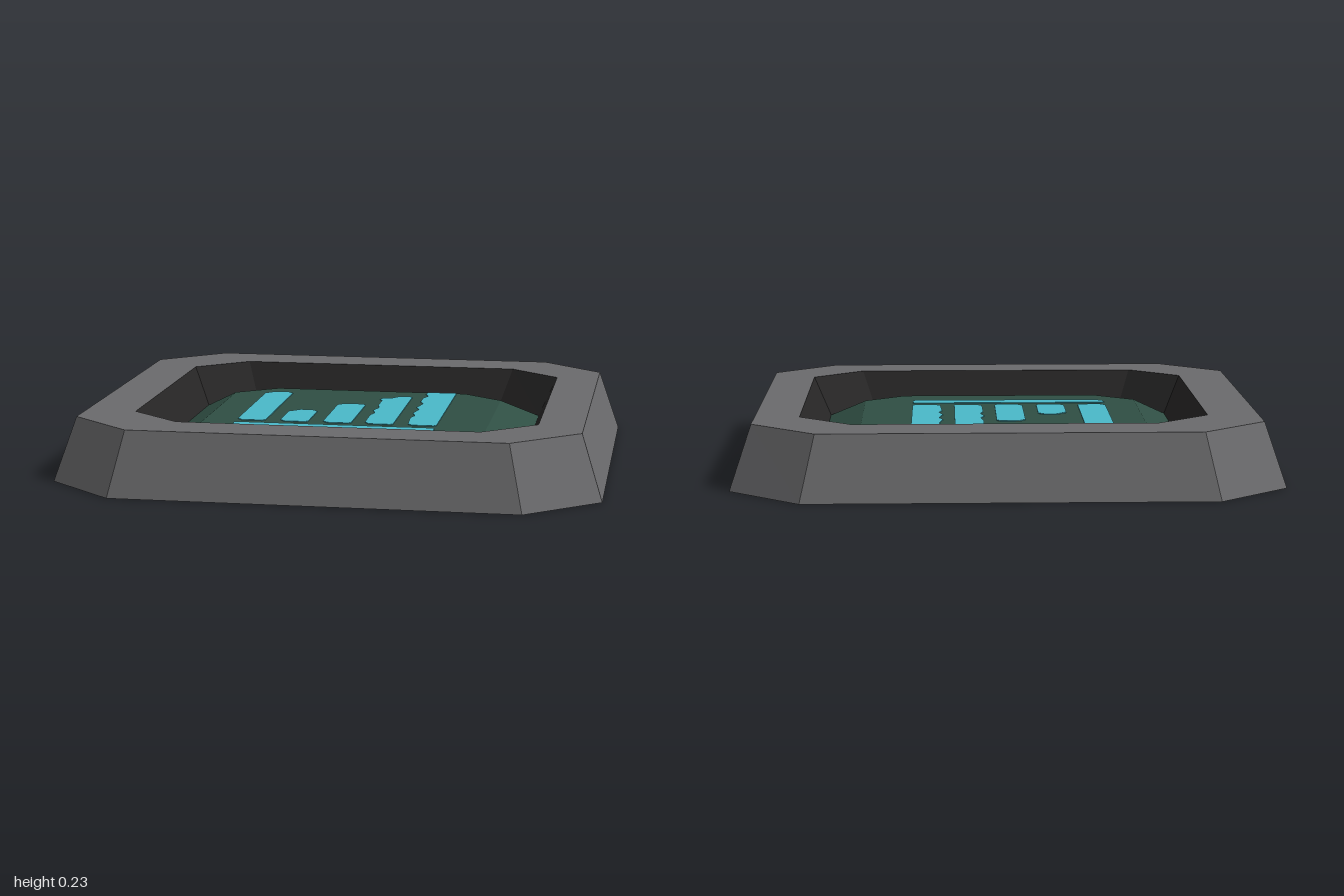
import * as THREE from 'three';

const material = (name, color, side = THREE.DoubleSide) => {
  const m = new THREE.MeshStandardMaterial({ color, side, flatShading: true });
  m.name = name;
  return m;
};

// Octagon with cut corners: half sizes, corner starts, height and centre
const octagon = (hx, hz, cx, cz, y, ox = 0, oz = 0) => [
  [hx, -cz], [hx, cz], [cx, hz], [-cx, hz],
  [-hx, cz], [-hx, -cz], [-cx, -hz], [cx, -hz],
].map(([x, z]) => [x + ox, y, z + oz]);

// Flat-faced skin through successive rings
function loft(rings) {
  const pos = [];
  for (let r = 0; r < rings.length - 1; r++) {
    const a = rings[r], b = rings[r + 1];
    for (let i = 0; i < a.length; i++) {
      const j = (i + 1) % a.length;
      pos.push(...a[i], ...b[i], ...b[j], ...a[i], ...b[j], ...a[j]);
    }
  }
  const g = new THREE.BufferGeometry();
  g.setAttribute('position', new THREE.Float32BufferAttribute(pos, 3));
  g.computeVertexNormals();
  return g;
}

export function createModel() {
  const group = new THREE.Group();
  const grey = material('frame grey', 0x6a6a6c);
  const black = material('recess black', 0x272626);
  const green = material('screen green', 0x2f4e43);
  const cyan = material('bar cyan', 0x4ab8c8);

  const add = (name, geometry, mat) => {
    const mesh = new THREE.Mesh(geometry, mat);
    mesh.name = name;
    group.add(mesh);
  };

  // Hollow frame, open underneath
  const base = octagon(1, 0.885, 0.737, 0.66, 0);
  const rim = octagon(0.922, 0.815, 0.684, 0.61, 0.235);
  const opening = octagon(0.746, 0.634, 0.553, 0.473, 0.235, 0.012, 0.008);
  const screenEdge = octagon(0.68, 0.577, 0.503, 0.43, 0.085, 0.01, 0.01);
  add('frame', loft([base, rim, opening]), grey);
  add('recessWall', loft([opening, screenEdge]), black);

  // Raised screen with sloping border and flat centre
  const top = 0.16;
  const screenFlat = octagon(0.54, 0.45, 0.385, 0.335, top, 0.005, 0.006);
  const centre = octagon(0, 0, 0, 0, top);
  add('screen', loft([screenEdge, screenFlat, centre]), green);

  // Thin plate from an outline of x, z points, showing on both screen faces
  const plate = (name, points) => {
    const shape = new THREE.Shape(points.map(([x, z]) => new THREE.Vector2(x, -z)));
    const g = new THREE.ExtrudeGeometry(shape, { depth: 0.006, bevelEnabled: false });
    g.rotateX(-Math.PI / 2).translate(0, top - 0.003, 0);
    add(name, g, cyan);
  };

  // Plain bars: left, right, far end and corner cut at that end
  const bottom = 0.22;
  [[-0.41, -0.3, -0.357, 0.035], [-0.245, -0.135, 0.01 - 0.02, 0.04], [-0.08, 0.03, -0.155, 0.025]]
    .forEach(([l, r, far, cut], i) => plate('chartBar' + (i + 1), [
      [l + 0.02, bottom], [r - 0.01, bottom], [r, bottom - 0.015], [r, far + cut * 0.6],
      [r - cut * 0.6, far], [l + cut, far], [l, far + cut], [l, bottom - 0.025],
    ]));

  // Two bars with an uneven left edge
  plate('chartBar4', [
    [0.1, bottom], [0.18, bottom], [0.19, 0.21], [0.19, -0.325], [0.17, -0.34], [0.14, -0.335],
    [0.115, -0.3], [0.075, -0.285], [0.068, -0.26], [0.08, -0.24], [0.08, -0.15],
    [0.09, -0.09], [0.075, -0.04], [0.09, 0.01], [0.078, 0.05], [0.08, 0.19],
  ]);
  plate('chartBar5', [
    [0.265, bottom], [0.345, bottom], [0.355, 0.21], [0.355, -0.436], [0.24, -0.436],
    [0.235, -0.4], [0.25, -0.36], [0.235, -0.31], [0.235, -0.24], [0.25, -0.2],
    [0.235, -0.12], [0.25, -0.08], [0.235, -0.01], [0.25, 0.04], [0.238, 0.08], [0.245, 0.2],
  ]);

  // Line under the bars
  plate('chartBaseline', [
    [-0.35, 0.327], [0.345, 0.327], [0.355, 0.317], [0.355, 0.268], [0.345, 0.26],
    [-0.4, 0.26], [-0.41, 0.27], [-0.405, 0.305], [-0.38, 0.322],
  ]);

  return group;
}
